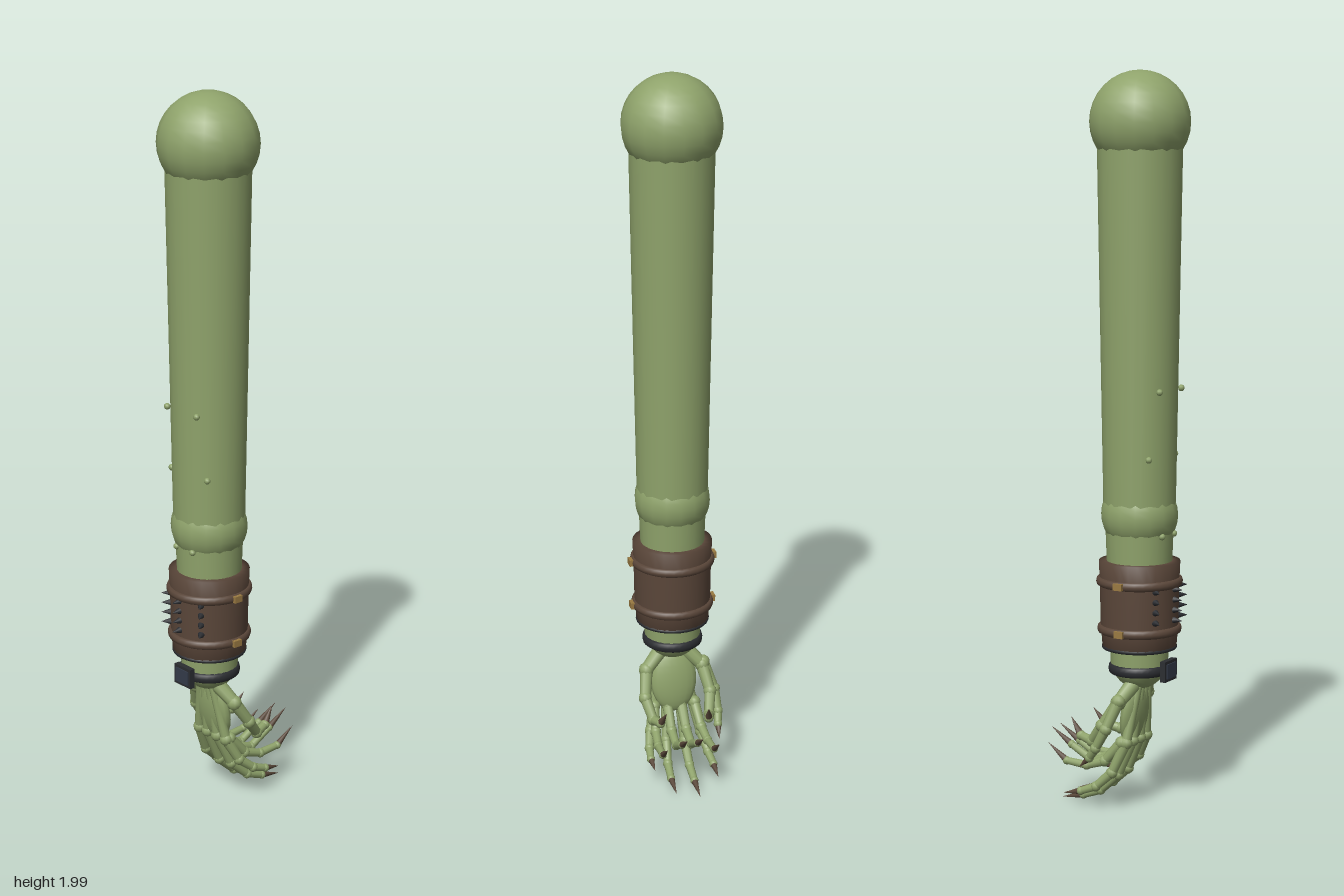
import * as THREE from 'three';

const mat = (color) => new THREE.MeshStandardMaterial({ color });
const skin = mat(0x8fa36b), leather = mat(0x5b473a), dark = mat(0x2b2d31);
const clawMat = mat(0x5a483a), brass = mat(0x9a7a42), glass = mat(0x343b4a);
const AXIS_Z = 0.063; // the arm hangs around this vertical line
const UP = new THREE.Vector3(0, 1, 0);
const V = (x, y, z) => new THREE.Vector3(x, y, z);

function add(parent, name, geometry, material, x = 0, y = 0, z = 0) {
  const mesh = new THREE.Mesh(geometry, material);
  mesh.name = name;
  mesh.position.set(x, y, z);
  parent.add(mesh);
  return mesh;
}

// Tapered rod from a to b
function bone(parent, name, a, b, ra, rb, material = skin) {
  const dir = b.clone().sub(a);
  const mid = a.clone().add(b).multiplyScalar(0.5);
  const mesh = add(parent, name, new THREE.CylinderGeometry(rb, ra, dir.length(), 10), material, mid.x, mid.y, mid.z);
  mesh.quaternion.setFromUnitVectors(UP, dir.normalize());
}

// Jointed finger: bones, round knuckles and a pointed claw at the end
function digit(parent, name, pts, r) {
  const finger = new THREE.Group();
  finger.name = name;
  parent.add(finger);
  const last = pts.length - 2;
  for (let i = 0; i <= last; i++) {
    const ra = r * (1 - 0.12 * i);
    add(finger, 'knuckle', new THREE.SphereGeometry(ra * 1.18, 10, 8), skin, pts[i].x, pts[i].y, pts[i].z);
    if (i < last) bone(finger, 'fingerBone', pts[i], pts[i + 1], ra, ra * 0.85);
    else bone(finger, 'claw', pts[i], pts[i + 1], ra, 0.0005, clawMat);
  }
}

export function createModel() {
  const model = new THREE.Group();
  model.name = 'arm';
  const ring = (name, r, tube, y, material, stretch = 1) => {
    const t = add(model, name, new THREE.TorusGeometry(r, tube, 8, 32), material, 0, y, AXIS_Z);
    t.rotation.x = Math.PI / 2;
    t.scale.z = stretch;
  };

  // Shoulder, upper arm, elbow, forearm, wrist
  add(model, 'shoulder', new THREE.SphereGeometry(0.135, 16, 16), skin, 0, 1.865, AXIS_Z);
  add(model, 'upperArm', new THREE.CylinderGeometry(0.114, 0.097, 1.0, 24), skin, 0, 1.33, AXIS_Z);
  add(model, 'elbow', new THREE.SphereGeometry(0.104, 16, 16), skin, 0, 0.82, AXIS_Z);
  add(model, 'forearm', new THREE.CylinderGeometry(0.093, 0.077, 0.42, 24), skin, 0, 0.61, AXIS_Z);
  add(model, 'wrist', new THREE.SphereGeometry(0.077, 16, 16), skin, 0, 0.42, AXIS_Z);

  // Warts on the front of the arm
  for (const [x, y, r] of [[0.06, 1.16, 0.111], [0.073, 0.98, 0.1], [0.033, 0.77, 0.093]])
    for (const s of [-1, 1])
      add(model, 'wart', new THREE.SphereGeometry(0.009, 8, 6), skin, s * x, y, AXIS_Z + Math.sqrt(r * r - x * x));

  // Leather bracer with straps, buckles and spikes
  const profile = [[0.08, 0.46], [0.1, 0.46], [0.105, 0.52], [0.107, 0.63], [0.11, 0.695], [0.088, 0.695]];
  add(model, 'bracer', new THREE.LatheGeometry(profile.map(([r, y]) => new THREE.Vector2(r, y)), 28), leather, 0, 0, AXIS_Z)
    .material.side = THREE.DoubleSide;
  ring('bracerTrim', 0.096, 0.006, 0.46, dark);
  for (const [y, r] of [[0.64, 0.109], [0.51, 0.106]]) {
    ring('bracerStrap', r, 0.008, y, leather, 1.5);
    for (const s of [-1, 1])
      add(model, 'buckle', new THREE.BoxGeometry(0.012, 0.018, 0.026), brass, s * (r + 0.008), y, AXIS_Z);
  }
  for (const a of [-0.65, 0, 0.65])
    for (let i = 0; i < 4; i++) {
      const y = 0.625 - i * 0.028;
      const out = V(Math.sin(a), 0, Math.cos(a));
      const p = out.clone().multiplyScalar(0.102).add(V(0, y, AXIS_Z));
      bone(model, 'spike', p, p.clone().addScaledVector(out, 0.028), 0.01, 0.0005, dark);
    }

  // Wrist device on its band
  ring('wristBand', 0.077, 0.007, 0.4, dark, 2);
  add(model, 'deviceCase', new THREE.BoxGeometry(0.066, 0.056, 0.016), dark, 0, 0.402, 0.152);
  add(model, 'deviceScreen', new THREE.BoxGeometry(0.05, 0.04, 0.004), glass, 0, 0.402, 0.161);

  // Palm with tendons running to the knuckles
  const palm = add(model, 'palm', new THREE.SphereGeometry(1, 18, 14), skin, 0, 0.275, 0.05);
  palm.scale.set(0.066, 0.095, 0.027);
  palm.rotation.x = 0.15;

  // Lower row of fingers: base x, then claw tip
  const lower = [[-0.055, -0.085, 0.045, -0.125], [-0.02, -0.023, 0.013, -0.165],
    [0.02, 0.042, 0.025, -0.155], [0.057, 0.092, 0.08, -0.11]];
  const fallY = [1, 0.46, 0.19, 0.08, 0], runZ = [0, 0.2, 0.45, 0.7, 1], runX = [0, 0.5, 0.85, 1, 1];
  for (const [bx, tx, ty, tz] of lower) {
    const pts = fallY.map((f, i) => V(bx + (tx - bx) * runX[i], ty + (0.2 - ty) * f, 0.052 + (tz - 0.052) * runZ[i]));
    digit(model, 'lowerFinger', pts, 0.0155);
    bone(model, 'tendon', V(bx * 0.45, 0.36, 0.075), pts[0], 0.011, 0.014);
  }

  // Upper row of fingers, curling up at the claws, and the paired thumbs
  for (const s of [-1, 1]) {
    for (const [bx, tx, ty, tz] of [[0.02, 0.022, 0.207, -0.2], [0.058, 0.073, 0.175, -0.18]]) {
      const ys = [0.2, 0.145, 0.128, ty - 0.042, ty];
      const pts = ys.map((y, i) => V(s * (bx + (tx - bx) * runX[i]), y, 0.04 + (tz - 0.04) * [0, 0.22, 0.46, 0.74, 1][i]));
      digit(model, 'upperFinger', pts, 0.015);
    }
    const base = V(s * 0.08, 0.315, 0.042);
    bone(model, 'thumbRoot', V(s * 0.035, 0.36, AXIS_Z), base, 0.022, 0.018);
    digit(model, 'thumb', [base, V(s * 0.093, 0.25, 0), V(s * 0.08, 0.2, -0.04),
      V(s * 0.069, 0.208, -0.08), V(s * 0.06, 0.253, -0.115)], 0.018);
  }

  // Single outer thumb
  digit(model, 'outerThumb', [V(-0.084, 0.32, 0.045), V(-0.11, 0.245, 0.02), V(-0.113, 0.19, -0.01),
    V(-0.108, 0.16, -0.032), V(-0.104, 0.13, -0.065)], 0.0165);

  return model;
}
